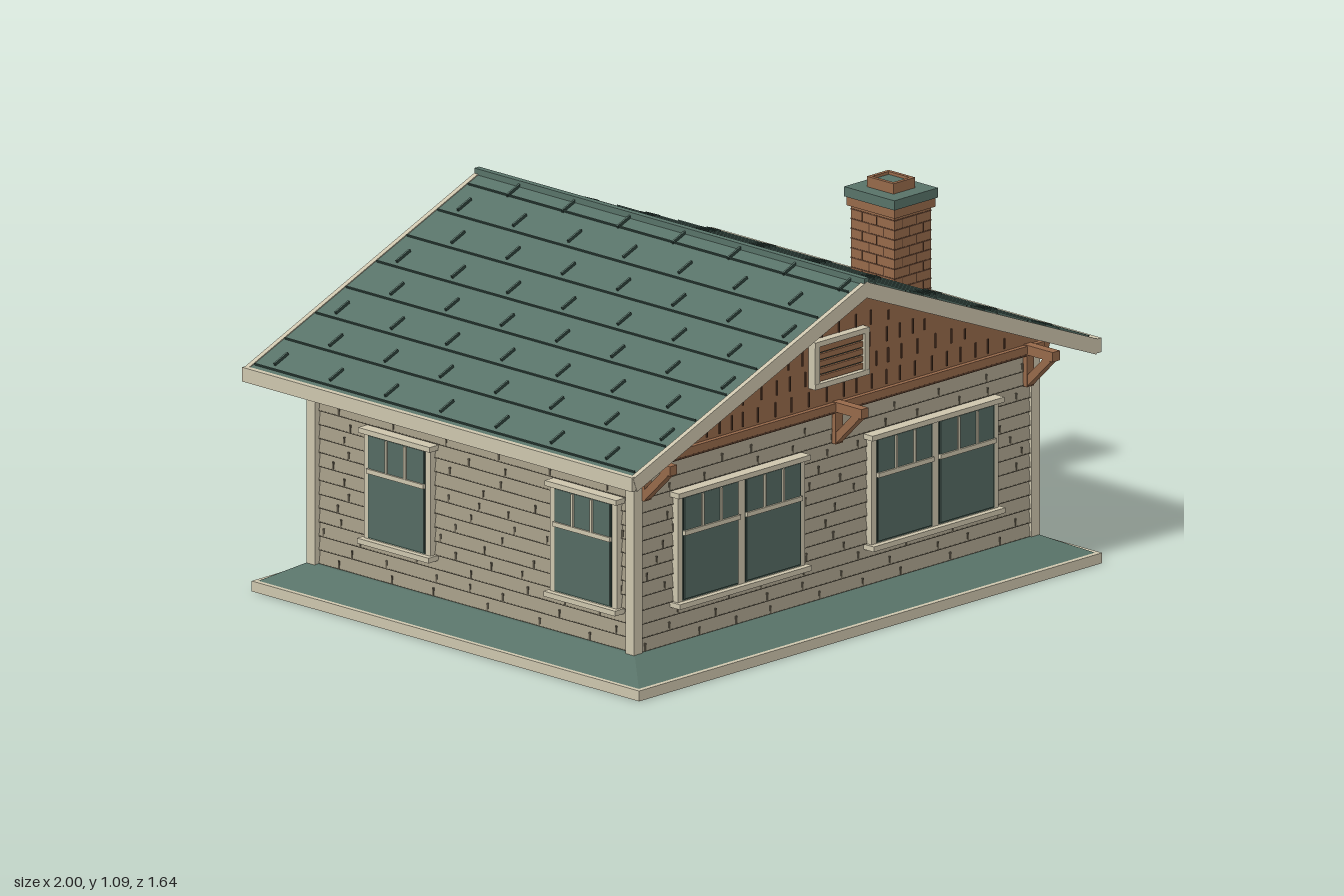
import * as THREE from 'three';
import { mergeGeometries } from 'three/addons/utils/BufferGeometryUtils.js';

const mat = (name, color) => {
  const m = new THREE.MeshStandardMaterial({ color });
  m.name = name;
  return m;
};

export function createModel() {
  const trim = mat('cream trim', 0xcdc5ad);
  const siding = mat('taupe siding', 0xa29a85);
  const sidingSeam = mat('siding seam', 0x6c6555);
  const wood = mat('brown wood', 0x96694a);
  const woodSeam = mat('wood seam', 0x5a3d2b);
  const green = mat('roof green', 0x587268);
  const darkGreen = mat('dark green', 0x2e433c);
  const glass = mat('window glass', 0x546a62);

  const house = new THREE.Group();
  house.name = 'bungalow';

  let seed = 7;
  const rnd = () => (seed = (seed * 16807) % 2147483647) / 2147483647;

  const group = (name, parent, x = 0, y = 0, z = 0, ry = 0) => {
    const g = new THREE.Group();
    g.name = name;
    g.position.set(x, y, z);
    g.rotation.y = ry;
    parent.add(g);
    return g;
  };
  const add = (parent, name, geo, material) => {
    const m = new THREE.Mesh(geo, material);
    m.name = name;
    parent.add(m);
    return m;
  };
  // Merged boxes, each [width, height, depth, x, y, z] about its centre
  const boxes = (parent, name, material, list) => add(parent, name, mergeGeometries(
    list.map(([w, h, d, x, y, z]) => new THREE.BoxGeometry(w, h, d).translate(x, y, z))), material);
  // Box given by its limits
  const span = (x0, x1, y0, y1, z0, z1) =>
    [x1 - x0, y1 - y0, z1 - z0, (x0 + x1) / 2, (y0 + y1) / 2, (z0 + z1) / 2];

  const X0 = -0.84, X1 = 0.83, Z0 = -0.675, Z1 = 0.655, CX = -0.006, CZ = -0.01;

  // Sloped base skirt with a trim border
  const skirt = new THREE.BoxGeometry(1, 1, 1);
  const p = skirt.attributes.position;
  for (let i = 0; i < p.count; i++) {
    const top = p.getY(i) > 0, right = p.getX(i) > 0, front = p.getZ(i) > 0;
    p.setXYZ(i, top ? (right ? 0.85 : -0.86) : (right ? 0.95 : -0.99), top ? 0.08 : 0.03,
      top ? (front ? 0.665 : -0.685) : (front ? 0.81 : -0.77));
  }
  skirt.computeVertexNormals();
  add(house, 'baseSkirt', skirt, green);
  boxes(house, 'baseBorder', trim, [
    span(-1, 0.96, 0, 0.032, 0.8, 0.82), span(-1, 0.96, 0, 0.032, -0.78, -0.76),
    span(-1, -0.98, 0, 0.032, -0.77, 0.81), span(0.94, 0.96, 0, 0.032, -0.77, 0.81)]);
  boxes(house, 'floor', siding, [span(-0.86, 0.85, 0.02, 0.034, -0.685, 0.665)]);

  // Sash windows, standing on the local wall plane z = 0
  const addWindow = (parent, x, panes) => {
    const g = group('window', parent, x, 0, 0);
    const pw = 0.235, gap = 0.028, w = panes * (pw + gap) + 0.012;
    boxes(g, 'windowFrame', trim, [
      [w, 0.34, 0.026, 0, 0.372, 0.013], [w + 0.02, 0.016, 0.045, 0, 0.2, 0.022],
      [w + 0.02, 0.016, 0.04, 0, 0.541, 0.02]]);
    for (let i = 0; i < panes; i++) {
      const px = (i - (panes - 1) / 2) * (pw + gap);
      boxes(g, 'sashRim', darkGreen, [[pw, 0.322, 0.028, px, 0.372, 0.014]]);
      boxes(g, 'pane', glass, [[pw - 0.009, 0.313, 0.031, px, 0.372, 0.0155]]);
      boxes(g, 'muntins', trim, [[pw, 0.014, 0.037, px, 0.42, 0.0185],
        ...[-1, 1].map(s => [0.008, 0.105, 0.036, px + s * pw / 6, 0.475, 0.018])]);
    }
  };

  // Lapped siding wall: sawtooth profile with seams and board joints
  const course = 0.043, courses = 13, base = 0.08;
  const addWall = (name, len, x, z, ry, windows) => {
    const g = group(name, house, x, 0, z, ry);
    const s = new THREE.Shape().moveTo(-0.03, 0.03).lineTo(0, 0.03);
    for (let i = 0; i < courses; i++) {
      s.lineTo(0.007, base + i * course).lineTo(0.001, base + (i + 1) * course);
    }
    s.lineTo(-0.03, base + courses * course);
    const geo = new THREE.ExtrudeGeometry(s, { depth: len, bevelEnabled: false });
    add(g, 'siding', geo.rotateY(-Math.PI / 2).translate(len / 2, 0, 0), siding);
    const seams = [];
    for (let i = 0; i < courses; i++) {
      const y = base + i * course;
      seams.push([len, 0.003, 0.004, 0, y, 0.0055]);
      for (let t = -len / 2 + 0.03 + rnd() * 0.15; t < len / 2 - 0.02; t += 0.12 + rnd() * 0.12) {
        seams.push([0.006, 0.024, 0.005, t, y + 0.013, 0.005]);
      }
    }
    boxes(g, 'sidingSeams', sidingSeam, seams);
    for (const [wx, n] of windows) addWindow(g, wx, n);
  };
  const W = X1 - X0, D = Z1 - Z0;
  addWall('frontWall', W, CX, Z1, 0, [[-0.418, 2], [0.402, 2]]);
  addWall('backWall', W, CX, Z0, Math.PI, [[-0.39, 1], [0.34, 2]]);
  addWall('leftWall', D, X1, CZ, Math.PI / 2, [[-0.42, 1], [0.35, 1]]);
  addWall('rightWall', D, X0, CZ, -Math.PI / 2, [[-0.3, 1], [0.47, 1]]);

  boxes(house, 'cornerBoards', trim, [-0.846, 0.836].flatMap(x =>
    [-0.669, 0.649].map(z => [0.036, 0.57, 0.036, x, 0.36, z])));

  // Gable prism under the roof
  const tri = new THREE.Shape([[-0.862, 0.64], [0.85, 0.64], [0.85, 0.68], [CX, 1.02], [-0.862, 0.68]]
    .map(([x, y]) => new THREE.Vector2(x, y)));
  add(house, 'gableBody', new THREE.ExtrudeGeometry(tri, { depth: 1.346, bevelEnabled: false })
    .translate(0, 0, -0.683), wood);

  // Gable shingle joints, vent and eave brackets, front and back
  for (const [name, z, ry] of [['frontGable', 0.663, 0], ['backGable', -0.683, Math.PI]]) {
    const g = group(name, house, CX, 0, z, ry);
    const joints = [];
    for (let r = 0; r < 5; r++) {
      const y = 0.685 + r * 0.066, half = (0.985 - y) / 0.398;
      for (let x = -half + rnd() * 0.03; x < half - 0.02; x += 0.045 + rnd() * 0.035) {
        const h = Math.min(0.045, 1.0 - 0.398 * Math.abs(x) - y);
        if (h > 0.012) joints.push([0.005, h, 0.005, x, y + h / 2, 0.001]);
      }
    }
    boxes(g, 'gableJoints', woodSeam, joints);
    boxes(g, 'gableBeam', wood, [[1.74, 0.024, 0.02, 0, 0.665, 0.005]]);
    boxes(g, 'beamShadowLine', woodSeam, [[1.72, 0.006, 0.018, 0, 0.649, 0.004]]);
    boxes(g, 'ventBack', darkGreen, [[0.2, 0.12, 0.012, 0, 0.815, 0.006]]);
    boxes(g, 'ventFrame', trim, [
      ...[-1, 1].map(s => [0.02, 0.14, 0.03, s * 0.105, 0.815, 0.012]),
      ...[-1, 1].map(s => [0.23, 0.016, 0.032, 0, 0.815 + s * 0.065, 0.012])]);
    boxes(g, 'ventSlats', wood, [0, 1, 2, 3, 4].map(i => [0.19, 0.017, 0.02, 0, 0.77 + i * 0.0225, 0.01]));
    for (const x of [-0.81, 0, 0.81]) {
      const b = group('bracket', g, x, 0, 0);
      boxes(b, 'bracketArm', wood, [[0.03, 0.03, 0.12, 0, 0.665, 0.06], [0.03, 0.1, 0.016, 0, 0.6, 0.006]]);
      const brace = boxes(b, 'bracketBrace', wood, [[0.028, 0.024, 0.135, 0, 0, 0]]);
      brace.position.set(0, 0.608, 0.052);
      brace.rotation.x = -0.78;
    }
  }

  // Roof slopes with shingle courses, soffit, rafter tails and barge boards
  const ang = Math.atan(0.398), L = 1.053, RZ = -0.015, RD = 1.6;
  const seamMats = [darkGreen, darkGreen, green, darkGreen, darkGreen, darkGreen];
  for (const s of [-1, 1]) {
    const g = group(s > 0 ? 'leftRoofSlope' : 'rightRoofSlope', house, CX, 1.07, RZ);
    g.rotation.z = -s * ang;
    boxes(g, 'roofSlab', green, [[L, 0.03, RD - 0.01, s * L / 2, -0.015, 0]]);
    boxes(g, 'soffit', wood, [[L - 0.01, 0.012, RD - 0.02, s * (L - 0.01) / 2, -0.035, 0]]);
    boxes(g, 'bargeBoards', trim, [-1, 1].map(e =>
      [L + 0.01, 0.046, 0.016, s * (L + 0.01) / 2, -0.02, e * (RD / 2 - 0.002)]));
    boxes(g, 'rafterTails', wood, Array.from({ length: 10 }, (_, i) =>
      [0.16, 0.026, 0.026, s * (L - 0.1), -0.052, (i - 4.5) * 0.14]));
    const line = new THREE.BoxGeometry(0.003, 0.008, RD - 0.03);
    const joint = new THREE.BoxGeometry(0.06, 0.01, 0.006);
    for (let r = 0; r < 8; r++) {
      const d = L - 0.02 - r * 0.139;
      add(g, 'shingleCourse', line, seamMats).position.set(s * d, 0.003, 0);
      for (let i = 0; i < 7; i++) {
        add(g, 'shingleJoint', joint, seamMats)
          .position.set(s * Math.max(d - 0.05, 0.035), 0.004, -0.72 + i * 0.228 + (r % 2) * 0.1);
      }
    }
  }
  boxes(house, 'eaveFascias', trim, [span(-1, -0.982, 0.64, 0.684, -0.82, 0.79),
    span(0.97, 0.988, 0.64, 0.684, -0.82, 0.79)]);
  boxes(house, 'ridgeCap', green, [[0.02, 0.03, RD + 0.01, CX, 1.07, RZ]]);

  // Chimney with brick courses, cap and hollow flue
  const ch = group('chimney', house, 0.907, 0, 0);
  boxes(ch, 'chimneyStack', wood, [[0.154, 0.35, 0.18, 0, 0.775, 0], [0.172, 0.028, 0.198, 0, 0.955, 0]]);
  const mortar = [];
  for (let i = 0; i < 11; i++) {
    const y = 0.63 + i * 0.03, o = (i % 2) * 0.03;
    mortar.push([0.156, 0.004, 0.182, 0, y, 0]);
    for (const t of [-0.045, 0.015]) {
      mortar.push([0.156, 0.03, 0.003, 0, y - 0.015, t + o], [0.003, 0.03, 0.182, t + o, y - 0.015, 0]);
    }
  }
  boxes(ch, 'mortarLines', woodSeam, mortar);
  boxes(ch, 'chimneyCap', green, [[0.185, 0.03, 0.208, 0, 0.984, 0]]);
  boxes(ch, 'flueWalls', wood, [
    ...[-1, 1].map(s => [0.012, 0.034, 0.11, s * 0.04, 1.014, 0]),
    ...[-1, 1].map(s => [0.09, 0.034, 0.012, 0, 1.014, s * 0.049])]);
  boxes(ch, 'flueInside', green, [[0.07, 0.02, 0.088, 0, 1.012, 0]]);

  return house;
}
